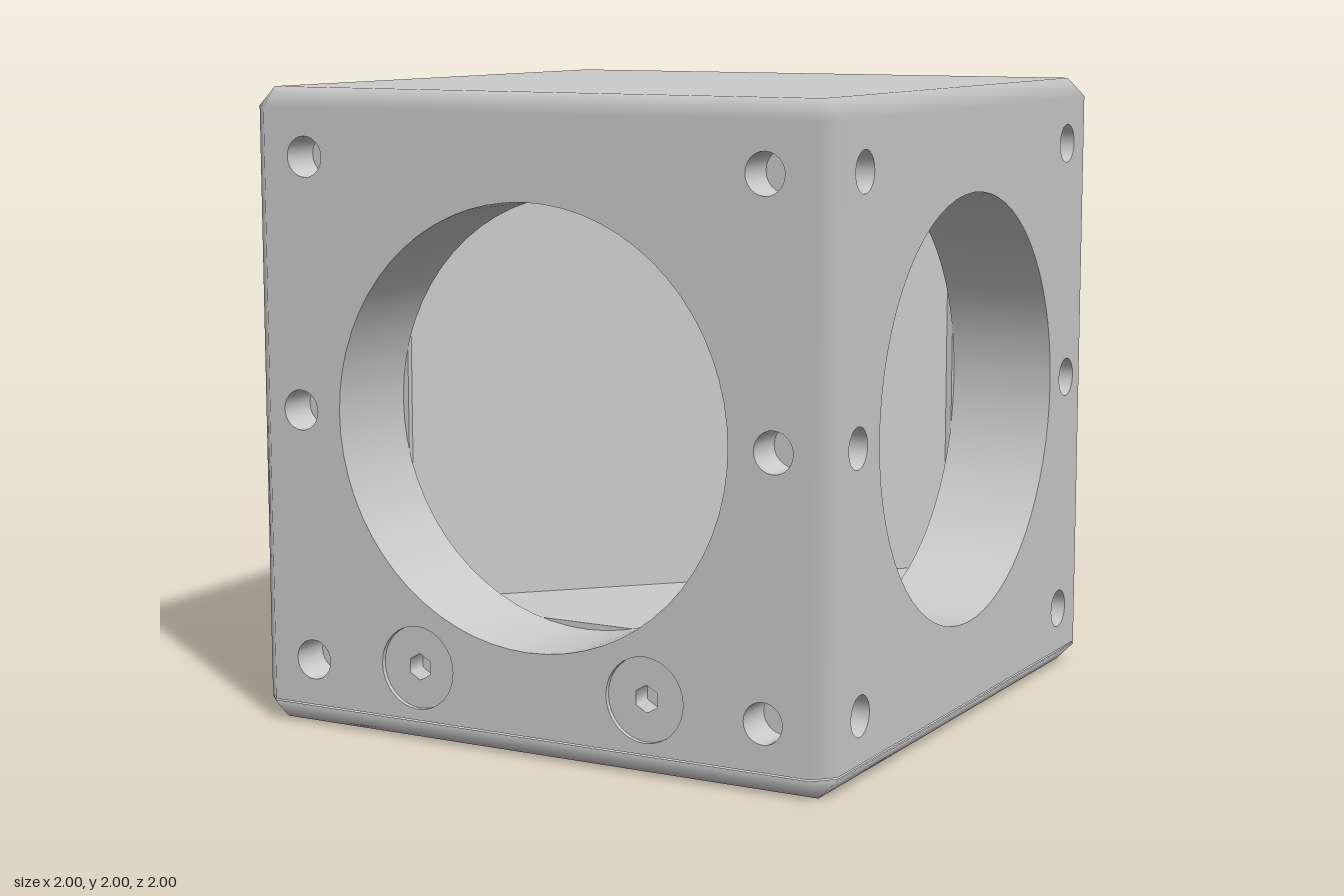
import * as THREE from 'three';
import { mergeGeometries } from 'three/addons/utils/BufferGeometryUtils.js';

const C = 0.06;          // edge chamfer
const E = 1 - C;         // half width of each flat face
const SEAM = 0.07;       // height of the base plate seam
const MID = 1.005;       // height of the optical axis
const R = 0.675;         // aperture radius
const H = 0.655;         // half size of the inner chamber

const mat = new THREE.MeshStandardMaterial({ color: 0xcccccc, side: THREE.DoubleSide });

function add(parent, name, geometry) {
  const mesh = new THREE.Mesh(geometry, mat);
  mesh.name = name;
  parent.add(mesh);
  return mesh;
}

function ngon(x, y, r, n) {
  return Array.from({ length: n }, (_, i) => {
    const a = Math.PI / 2 + (i / n) * Math.PI * 2;
    return new THREE.Vector2(x + r * Math.cos(a), y + r * Math.sin(a));
  });
}

// Flat rectangle facing +z, pierced by the listed { x, y, r, n } holes
function panel(x0, y0, x1, y1, holes = []) {
  const s = new THREE.Shape();
  s.moveTo(x0, y0).lineTo(x1, y0).lineTo(x1, y1).lineTo(x0, y1).closePath();
  for (const h of holes) s.holes.push(new THREE.Path().setFromPoints(ngon(h.x, h.y, h.r, h.n)));
  return new THREE.ShapeGeometry(s);
}

// Wall of a hole running back from the plane z
function tunnel(h, z, depth) {
  return new THREE.CylinderGeometry(h.r, h.r, depth, h.n, 1, true)
    .rotateX(Math.PI / 2).translate(h.x, h.y, z - depth / 2);
}

// Blind hole: wall plus floor
function bore(h, z, depth) {
  const floor = new THREE.ShapeGeometry(new THREE.Shape(ngon(h.x, h.y, h.r, h.n))).translate(0, 0, z - depth);
  return mergeGeometries([tunnel(h, z, depth).toNonIndexed(), floor.toNonIndexed()]);
}

// Polygon fan; each corner takes the normal of the flat face it borders
function bevel(points, midY, halfY) {
  const pos = [], nor = [];
  const normal = ([x, y, z]) =>
    Math.abs(z) > 0.999 ? [0, 0, Math.sign(z)]
      : Math.abs(x) > 0.999 ? [Math.sign(x), 0, 0]
        : [0, Math.sign(y - midY) * (halfY > 0 ? 1 : -1), 0];
  for (let i = 1; i < points.length - 1; i++)
    for (const p of [points[0], points[i], points[i + 1]]) { pos.push(...p); nor.push(...normal(p)); }
  const g = new THREE.BufferGeometry();
  g.setAttribute('position', new THREE.Float32BufferAttribute(pos, 3));
  g.setAttribute('normal', new THREE.Float32BufferAttribute(nor, 3));
  return g;
}

// Chamfers on one horizontal edge, its corner and the vertical edge beside it
function chamfers(yFar, yEdge, yCap) {
  const up = yCap > yEdge;
  const order = (p) => (up ? p : p.slice().reverse());
  const polys = [
    order([[E, yFar, 1], [1, yFar, E], [1, yEdge, E], [E, yEdge, 1]]),
    order([[-E, yEdge, 1], [E, yEdge, 1], [E, yCap, E], [-E, yCap, E]]),
    order([[E, yEdge, 1], [1, yEdge, E], [E, yCap, E]]),
  ];
  return mergeGeometries(polys.map((p) => bevel(p, 1, 1)));
}

// Inner side of an aperture wall: square corners outside the circle, slivers inside it
function shoulder() {
  const a = Math.acos(H / R), parts = [];
  for (let k = 0; k < 4; k++) {
    const corner = new THREE.Shape();
    corner.moveTo(H, H);
    corner.absarc(0, 0, R, Math.PI / 2 - a, a, true);
    corner.lineTo(H, H);
    const sliver = new THREE.Shape();
    sliver.absarc(0, 0, R, -a, a, false);
    for (const s of [corner, sliver])
      parts.push(new THREE.ShapeGeometry(s, 16).rotateZ(k * Math.PI / 2).translate(0, MID, H));
  }
  return mergeGeometries(parts);
}

export function createModel() {
  const model = new THREE.Group();
  model.name = 'mirrorCube';

  const aperture = { x: 0, y: MID, r: R, n: 64 };
  const threads = [];
  const screws = [];
  for (const s of [-1, 1]) {
    for (const [x, y] of [[0.79, 1.79], [0.82, MID], [0.79, 0.215]])
      threads.push({ x: s * x, y, r: 0.063, n: 24 });
    screws.push({ x: s * 0.4, y: 0.235, r: 0.13, n: 32 });
  }

  // Four side walls, in turn: front, left, back, right
  const walls = [
    { name: 'frontWall', open: true, screwed: true },
    { name: 'leftWall', open: true },
    { name: 'backWall', screwed: true },
    { name: 'rightWall' },
  ];
  walls.forEach((w, k) => {
    const wall = new THREE.Group();
    wall.name = w.name;
    wall.rotation.y = k * Math.PI / 2;
    model.add(wall);

    const holes = [...(w.open ? [aperture, ...threads] : []), ...(w.screwed ? screws : [])];
    add(wall, 'wallFace', panel(-E, SEAM, E, 2 - C, holes).translate(0, 0, 1));
    add(wall, 'bodyChamfer', chamfers(SEAM, 2 - C, 2));
    add(wall, 'baseChamfer', chamfers(SEAM - 0.004, C, 0));
    add(wall, 'baseRim', panel(-E, C, E, SEAM - 0.004).translate(0, 0, 1));

    if (w.open) {
      add(wall, 'apertureTunnel', tunnel(aperture, 1, 1 - H));
      add(wall, 'apertureShoulder', shoulder());
      for (const t of threads) add(wall, 'threadedHole', bore(t, 1, 0.13));
    }
    if (w.screwed) {
      // Flat screw heads with hex sockets, just below the surface
      for (const s of screws) {
        const socket = { x: s.x, y: s.y, r: 0.042, n: 6 };
        const head = new THREE.Shape(ngon(s.x, s.y, s.r, s.n));
        head.holes.push(new THREE.Path().setFromPoints(ngon(s.x, s.y, socket.r, 6)));
        add(wall, 'screwRecess', tunnel(s, 1, 0.015));
        add(wall, 'screwHead', new THREE.ShapeGeometry(head).translate(0, 0, 0.985));
        add(wall, 'hexSocket', bore(socket, 0.985, 0.07));
      }
    }
  });

  // Top, and the base with its central mounting hole
  add(model, 'topFace', panel(-E, -E, E, E).rotateX(-Math.PI / 2).translate(0, 2, 0));
  const mount = { x: 0, y: 0, r: 0.063, n: 24 };
  add(model, 'baseFace', panel(-E, -E, E, E, [mount]).rotateX(Math.PI / 2));
  add(model, 'mountingHole', bore(mount, 0, 0.25).rotateX(Math.PI / 2));

  // Triangular chamber closed by the diagonal mirror
  const D = H - 0.02;
  const plan = [[H, H], [-H, H], [-H, D], [D, -H], [H, -H]];
  const outline = new THREE.Shape(plan.map(([x, z]) => new THREE.Vector2(x, -z)));
  for (const [name, y] of [['chamberFloor', MID - H], ['chamberCeiling', MID + H]])
    add(model, name, new THREE.ShapeGeometry(outline).rotateX(-Math.PI / 2).translate(0, y, 0));
  ['chamberSideStrip', 'diagonalMirror', 'chamberBackStrip'].forEach((name, i) => {
    const [x0, z0] = plan[i + 1], [x1, z1] = plan[i + 2];
    const g = new THREE.PlaneGeometry(Math.hypot(x1 - x0, z1 - z0), 2 * H);
    const m = add(model, name, g);
    m.position.set((x0 + x1) / 2, MID, (z0 + z1) / 2);
    m.rotation.y = Math.atan2(z0 - z1, x1 - x0);
  });

  return model;
}
